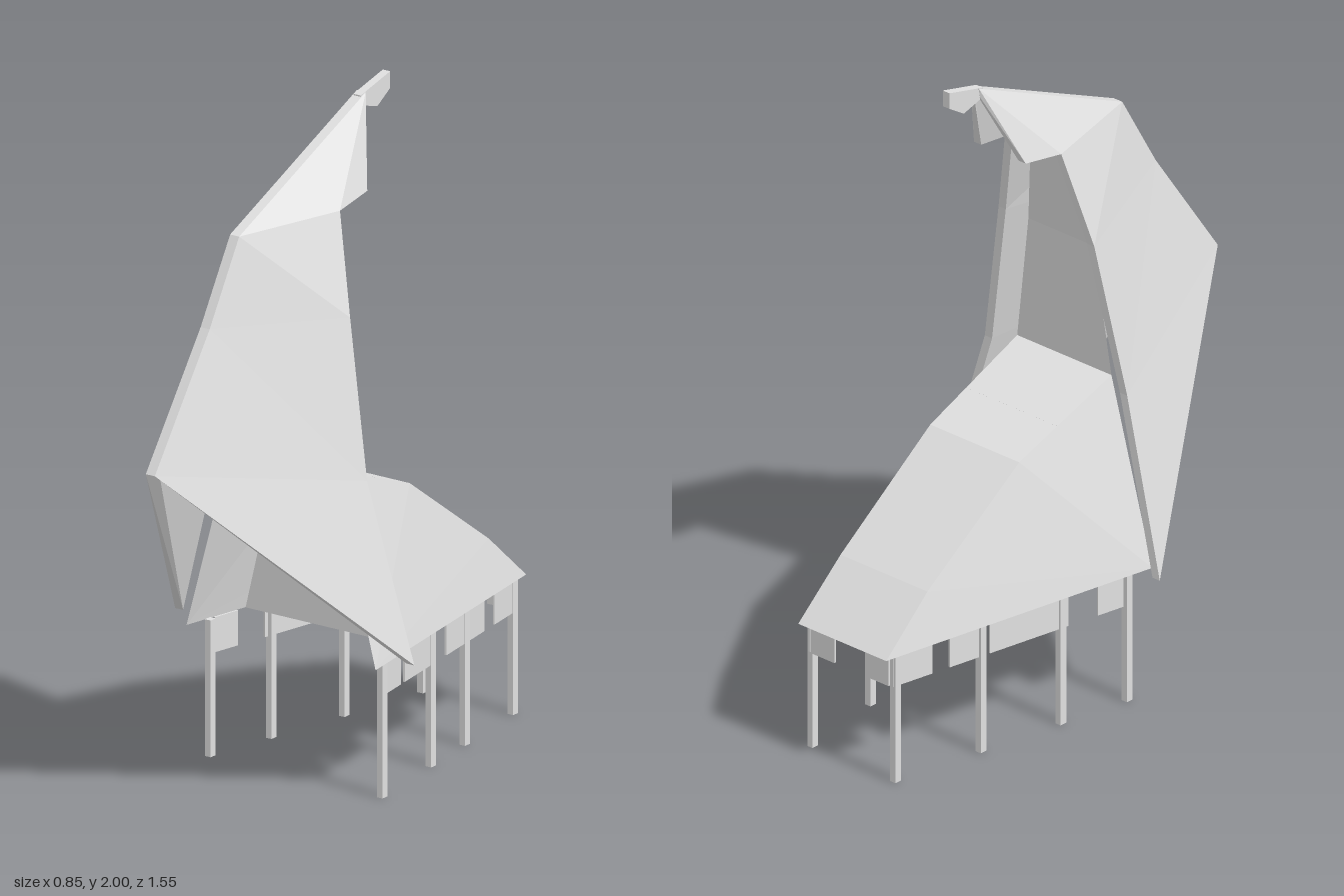
import * as THREE from 'three';

const grey = new THREE.MeshStandardMaterial({ color: 0xe0e0e0, side: THREE.DoubleSide, flatShading: true });
grey.name = 'light grey';

function add(group, name, geometry) {
  const mesh = new THREE.Mesh(geometry, grey);
  mesh.name = name;
  group.add(mesh);
  return mesh;
}

const flip = ([x, y, z]) => [-x, y, z];

// Collects triangles, with a mirrored pair for parts on both sides
class Facets {
  pos = [];
  tri(a, b, c) { this.pos.push(...a, ...b, ...c); }
  pair(a, b, c) { this.tri(a, b, c); this.tri(flip(a), flip(c), flip(b)); }
  build() {
    const g = new THREE.BufferGeometry();
    g.setAttribute('position', new THREE.Float32BufferAttribute(this.pos, 3));
    g.computeVertexNormals();
    return g;
  }
}

// Sheet spanning from -x to +x through rows of [half width, y, z], listed upwards as seen from behind
function sheet(rows) {
  const f = new Facets();
  for (let i = 0; i + 1 < rows.length; i++) {
    const [a, b] = [rows[i], rows[i + 1]];
    f.tri(a, flip(a), flip(b));
    f.tri(a, flip(b), b);
  }
  return f.build();
}

// Folded hood: a thick sheet bent over a narrow ridge
function hoodGeometry() {
  const f = new Facets();
  const ridge = [[0.016, 1.09, 0.78], [0.016, 1.46, 0.52], [0.016, 1.7, 0.38], [0.016, 1.97, -0.22]];
  const ridgeIn = [[0.008, 1.09, 0.73], [0.008, 1.445, 0.48], [0.008, 1.67, 0.355], [0.008, 1.945, -0.21]];
  const edge = [[0.424, 0.42, 0.095], [0.275, 0.95, 0.12], [0.185, 1.41, 0.08],
    [0.108, 1.7, 0.025], [0.1, 1.72, -0.115], [0.016, 1.94, -0.215]];
  const edgeIn = edge.map(([x, y, z]) => [Math.max(x - 0.028, 0.008), y, z]);
  // Facets as [ridge or edge index] triples
  const facets = ['r0 e0 e1', 'r0 e1 r1', 'r1 e1 e2', 'r1 e2 r2', 'r2 e2 e3', 'r2 e3 r3', 'r3 e3 e4', 'r3 e4 e5'];
  for (const facet of facets) {
    const keys = facet.split(' ');
    const outer = keys.map((k) => (k[0] === 'r' ? ridge : edge)[k[1]]);
    const inner = keys.map((k) => (k[0] === 'r' ? ridgeIn : edgeIn)[k[1]]);
    f.pair(...outer);
    f.pair(inner[0], inner[2], inner[1]);
  }
  // Flat strip along the ridge, outside and inside
  for (let i = 0; i < 3; i++) {
    const [a, b, c, d] = [ridge[i], ridge[i + 1], ridgeIn[i], ridgeIn[i + 1]];
    f.tri(a, b, flip(b)); f.tri(a, flip(b), flip(a));
    f.tri(c, flip(d), d); f.tri(c, flip(c), flip(d));
  }
  // Rim closing the sheet thickness
  const rimOut = [ridge[0], ...edge, ridge[3]];
  const rimIn = [ridgeIn[0], ...edgeIn, ridgeIn[3]];
  for (let i = 0; i + 1 < rimOut.length; i++) {
    f.pair(rimOut[i], rimIn[i], rimIn[i + 1]);
    f.pair(rimOut[i], rimIn[i + 1], rimOut[i + 1]);
  }
  // Ridge ends
  f.tri(ridge[0], flip(ridge[0]), flip(ridgeIn[0]));
  f.tri(ridge[0], flip(ridgeIn[0]), ridgeIn[0]);
  f.tri(flip(ridge[3]), ridge[3], ridgeIn[3]);
  f.tri(flip(ridge[3]), ridgeIn[3], flip(ridgeIn[3]));
  return f.build();
}

export function createModel() {
  const model = new THREE.Group();
  model.name = 'tallHoodedStructure';

  // Body: faceted roof and raked side walls, open below and in front
  const roof = [[0.17, 0.405, -0.775], [0.168, 0.56, -0.6], [0.172, 0.83, -0.22], [0.182, 0.97, 0.155]];
  add(model, 'roof', sheet(roof));
  const frontFoot = [0.335, 0.405, 0.16];
  const walls = new Facets();
  for (let i = 0; i < 3; i++) walls.pair(frontFoot, roof[i], roof[i + 1]);
  add(model, 'sideWalls', walls.build());

  // Cross wall inside the body
  add(model, 'crossWall', sheet([[0.294, 0.405, -0.065], [0.175, 0.888, -0.065]]));

  // Panel rising from the roof, recessed inside the hood
  add(model, 'neckPanel', sheet([roof[3], [0.125, 1.37, 0.14], [0.06, 1.7, 0.08]]));

  add(model, 'hood', hoodGeometry());

  // Beak at the top of the hood
  const outline = [[-0.2, 1.965], [-0.34, 2], [-0.34, 1.95], [-0.28, 1.912], [-0.2, 1.935]];
  const beakShape = new THREE.Shape(outline.map(([z, y]) => new THREE.Vector2(-z, y)));
  const beak = new THREE.ExtrudeGeometry(beakShape, { depth: 0.026, bevelEnabled: false });
  beak.translate(0, 0, -0.013).rotateY(Math.PI / 2);
  add(model, 'beak', beak);

  // Legs and skirt plates follow the tapering lower edge
  const slope = 0.178;
  const edgeX = (z) => 0.308 + slope * (z - 0.09);
  const sides = [
    { s: 1, legs: [0.088, -0.215, -0.425, -0.725], plates: [[-0.74, -0.6], [-0.54, -0.3], [-0.235, -0.04], [-0.02, 0.07]] },
    { s: -1, legs: [0.088, -0.145, -0.425, -0.725], plates: [[-0.74, -0.6], [-0.54, -0.42], [-0.4, -0.12], [-0.02, 0.07]] },
  ];
  for (const { s, legs, plates } of sides) {
    for (const z of legs) {
      add(model, 'leg', new THREE.BoxGeometry(0.02, 0.41, 0.024)).position.set(s * (edgeX(z) - 0.003), 0.205, z);
    }
    for (const [z0, z1] of plates) {
      const mid = (z0 + z1) / 2;
      const plate = add(model, 'skirtPlate', new THREE.BoxGeometry(0.006, 0.105, z1 - z0));
      plate.position.set(s * edgeX(mid), 0.358, mid);
      plate.rotation.y = s * Math.atan(slope);
    }
    add(model, 'rearSkirtPlate', new THREE.BoxGeometry(0.09, 0.105, 0.006)).position.set(s * 0.105, 0.358, -0.74);
  }
  return model;
}
